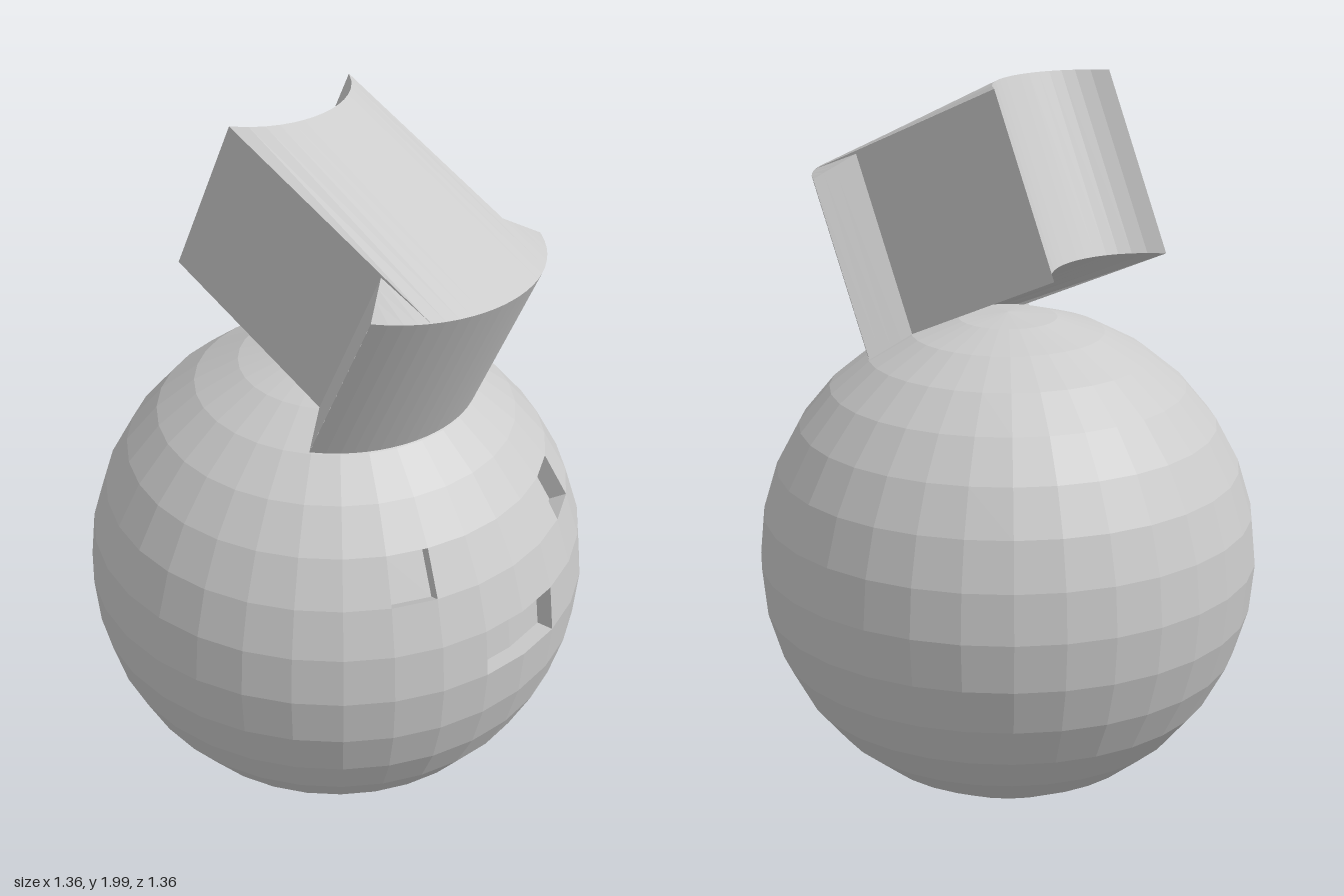
import * as THREE from 'three';

const R = 0.678, CENTRE_Y = 0.686, STEP = Math.PI / 16;
const material = new THREE.MeshStandardMaterial({ color: 0xcccccc, flatShading: true });

// Builds a faceted mesh from a list of [a, b, c, d] corner loops
function quadMesh(name, quads) {
  const points = quads.flatMap(([a, b, c, d]) => [a, b, c, a, c, d]);
  const geometry = new THREE.BufferGeometry().setFromPoints(points);
  geometry.computeVertexNormals();
  const mesh = new THREE.Mesh(geometry, material);
  mesh.name = name;
  return mesh;
}

// Grid point of the ball: row -8..8 from pole to pole, column 0 at +x
function ballPoint(row, col) {
  const lat = row * STEP, lon = col * STEP;
  return new THREE.Vector3(
    R * Math.cos(lat) * Math.cos(lon),
    CENTRE_Y + R * Math.sin(lat),
    R * Math.cos(lat) * Math.sin(lon));
}

const ballFacet = (row, col) => [
  ballPoint(row, col), ballPoint(row + 1, col),
  ballPoint(row + 1, col + 1), ballPoint(row, col + 1)];

// Facets of the ball that are pushed inwards
const recesses = [
  { name: 'leftEye', row: 2, cols: [2] },
  { name: 'rightEye', row: 2, cols: [-3] },
  { name: 'mouth', row: 0, cols: [-1, 0] },
];

function makeBody() {
  const quads = [];
  for (let row = -8; row < 8; row++) {
    for (let col = -16; col < 16; col++) {
      if (!recesses.some(r => r.row === row && r.cols.includes(col))) quads.push(ballFacet(row, col));
    }
  }
  return quadMesh('body', quads);
}

// Floor and surrounding walls of one pushed-in patch
function makeRecess({ name, row, cols }) {
  const depth = 0.05;
  const middle = ballPoint(row + 0.5, (cols[0] + cols[cols.length - 1] + 1) / 2);
  const inward = new THREE.Vector3(0, CENTRE_Y, 0).sub(middle).setLength(depth);
  const sink = p => p.clone().add(inward);
  const quads = cols.map(col => ballFacet(row, col).map(sink));
  const edges = [...cols, cols[cols.length - 1] + 1];
  const rim = [
    ...edges.map(col => ballPoint(row + 1, col)),
    ...edges.reverse().map(col => ballPoint(row, col))];
  rim.forEach((p, i) => {
    const q = rim[(i + 1) % rim.length];
    quads.push([p, q, sink(q), sink(p)]);
  });
  return quadMesh(name, quads);
}

// Tilted block: hollow arc at the back, wider bulging arc at the front
function makeHead() {
  const inner = 0.215, outer = 0.315;
  const drop = new THREE.Vector3(-0.205, -0.455, 0);
  const arcX = (z, tip, r) => tip - r + Math.sqrt(r * r - z * z);
  const front = z => new THREE.Vector3(arcX(z, 0.58, 0.377), 1.71, z);
  const back = z => new THREE.Vector3(arcX(z, -0.043, 0.258), 2, z);
  const flange = z => {
    const t = (Math.abs(z) - inner) / (outer - inner);
    return new THREE.Vector3(0.35 + 0.06 * t, 1.772 - 0.062 * t, z);
  };

  // Stations across the width; the step at the inner width forms the side walls
  const stations = [];
  const add = (from, to, n, edge) => {
    for (let i = 0; i <= n; i++) {
      const z = from + (to - from) * i / n;
      stations.push([edge(z), front(z)]);
    }
  };
  add(-outer, -inner, 4, flange);
  add(-inner, inner, 14, back);
  add(inner, outer, 4, flange);

  const low = p => p.clone().add(drop);
  const quads = [];
  for (let i = 0; i + 1 < stations.length; i++) {
    const [b0, f0] = stations[i], [b1, f1] = stations[i + 1];
    quads.push(
      [b0, b1, f1, f0],
      [low(f0), low(f1), low(b1), low(b0)],
      [f0, f1, low(f1), low(f0)],
      [b0, low(b0), low(b1), b1]);
  }
  return quadMesh('head', quads);
}

export function createModel() {
  const model = new THREE.Group();
  model.name = 'figure';
  model.add(makeBody(), makeHead(), ...recesses.map(makeRecess));
  return model;
}
